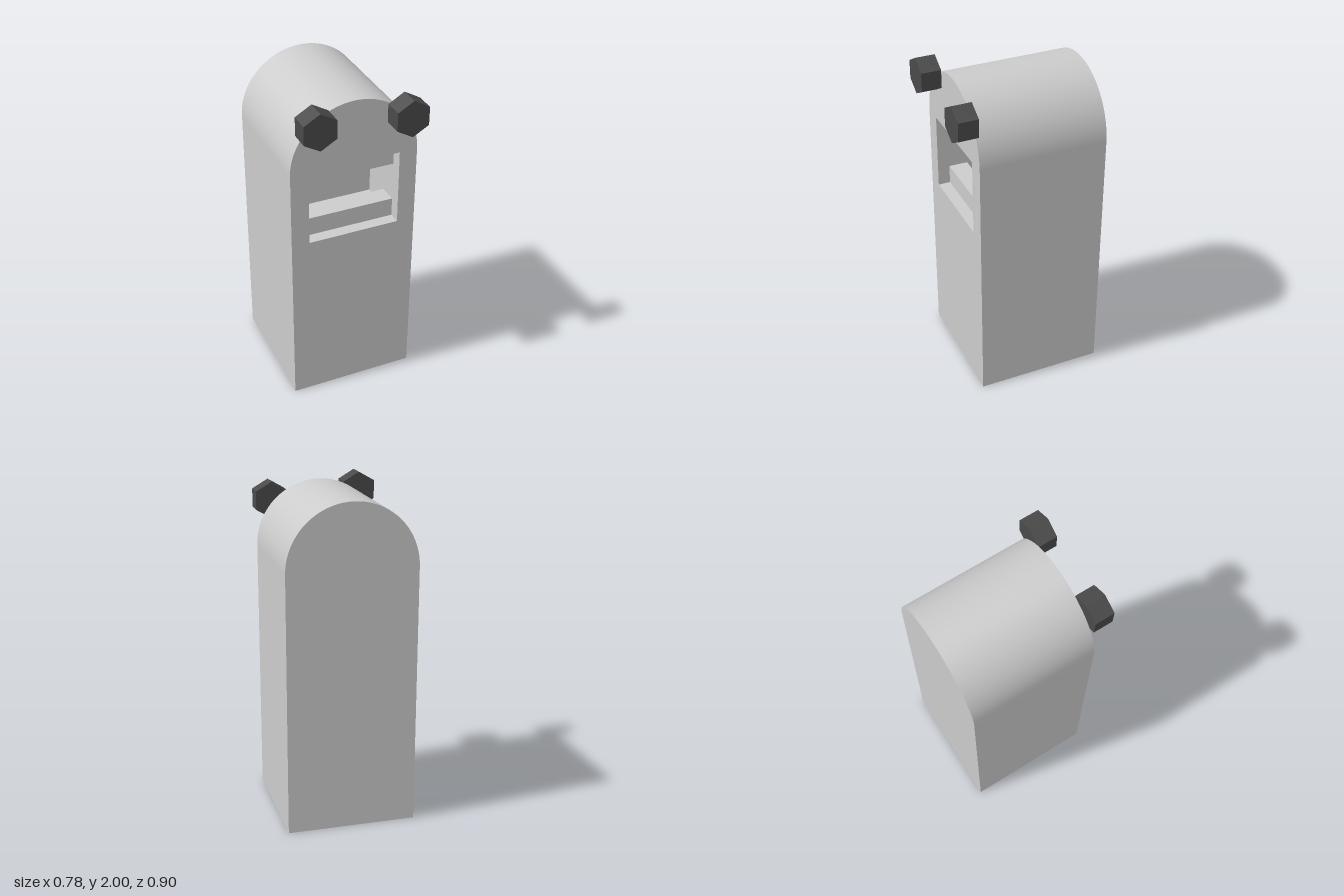
import * as THREE from 'three';
import { toCreasedNormals } from 'three/addons/utils/BufferGeometryUtils.js';

const HALF = 0.39, SPRING = 1.58, FRONT = 0.33, BACK = -0.45;
const RECESS = { half: 0.28, bottom: 1.11, top: 1.58, depth: 0.38 };

// Arched outline shared by the front, the back and the walls
function archShape() {
  const s = new THREE.Shape();
  s.moveTo(-HALF, 0);
  s.lineTo(HALF, 0);
  s.lineTo(HALF, SPRING);
  s.absarc(0, SPRING, HALF, 0, Math.PI, false);
  s.closePath();
  return s;
}

export function createModel() {
  const model = new THREE.Group();
  const grey = new THREE.MeshStandardMaterial({ color: 0xcccccc });
  const inside = new THREE.MeshStandardMaterial({ color: 0xcccccc, side: THREE.BackSide });
  const dark = new THREE.MeshStandardMaterial({ color: 0x4a4a4a, flatShading: true });

  function add(name, geometry, material, x = 0, y = 0, z = 0, parent = model) {
    const mesh = new THREE.Mesh(geometry, material);
    mesh.name = name;
    mesh.position.set(x, y, z);
    parent.add(mesh);
    return mesh;
  }

  const body = new THREE.Group();
  body.name = 'body';
  model.add(body);

  // Walls, floor and rounded roof: the extrusion without its end caps
  const extrusion = new THREE.ExtrudeGeometry(archShape(), {
    depth: FRONT - BACK, bevelEnabled: false, curveSegments: 40,
  });
  const { start, count } = extrusion.groups[1];
  const walls = new THREE.BufferGeometry();
  const positions = extrusion.attributes.position.array.slice(start * 3, (start + count) * 3);
  walls.setAttribute('position', new THREE.BufferAttribute(positions, 3));
  add('wallsAndRoof', toCreasedNormals(walls, 0.6), grey, 0, 0, BACK, body);

  // Back panel
  add('backPanel', new THREE.ShapeGeometry(archShape(), 40), grey, 0, 0, BACK, body).rotation.y = Math.PI;

  // Front panel with the rectangular opening
  const face = archShape();
  const { half, bottom, top, depth } = RECESS;
  face.holes.push(new THREE.Path([
    new THREE.Vector2(-half, bottom), new THREE.Vector2(-half, top),
    new THREE.Vector2(half, top), new THREE.Vector2(half, bottom),
  ]));
  add('frontPanel', new THREE.ShapeGeometry(face, 40), grey, 0, 0, FRONT, body);

  // Recess: a box seen from inside, with its front side left out
  const recess = new THREE.BoxGeometry(half * 2, top - bottom, depth);
  const open = recess.groups[4];
  recess.setIndex(Array.from(recess.index.array)
    .filter((_, i) => i < open.start || i >= open.start + open.count));
  recess.clearGroups();
  add('recess', recess, inside, 0, (top + bottom) / 2, FRONT - depth / 2, body);

  // Two bars set back across the opening
  const bar = new THREE.BoxGeometry(half * 2, 0.115, 0.116);
  add('lowerBar', bar, grey, 0, bottom + 0.0575, 0.198);
  add('upperBar', bar, grey, 0, top - 0.0575, 0.198);

  // Hexagonal knobs, one corner pointing up
  const knob = new THREE.CylinderGeometry(0.112, 0.112, 0.12, 6);
  knob.rotateX(Math.PI / 2);
  add('rightKnob', knob, dark, -0.258, 1.888, 0.39);
  add('leftKnob', knob, dark, 0.294, 1.85, 0.39);

  return model;
}
